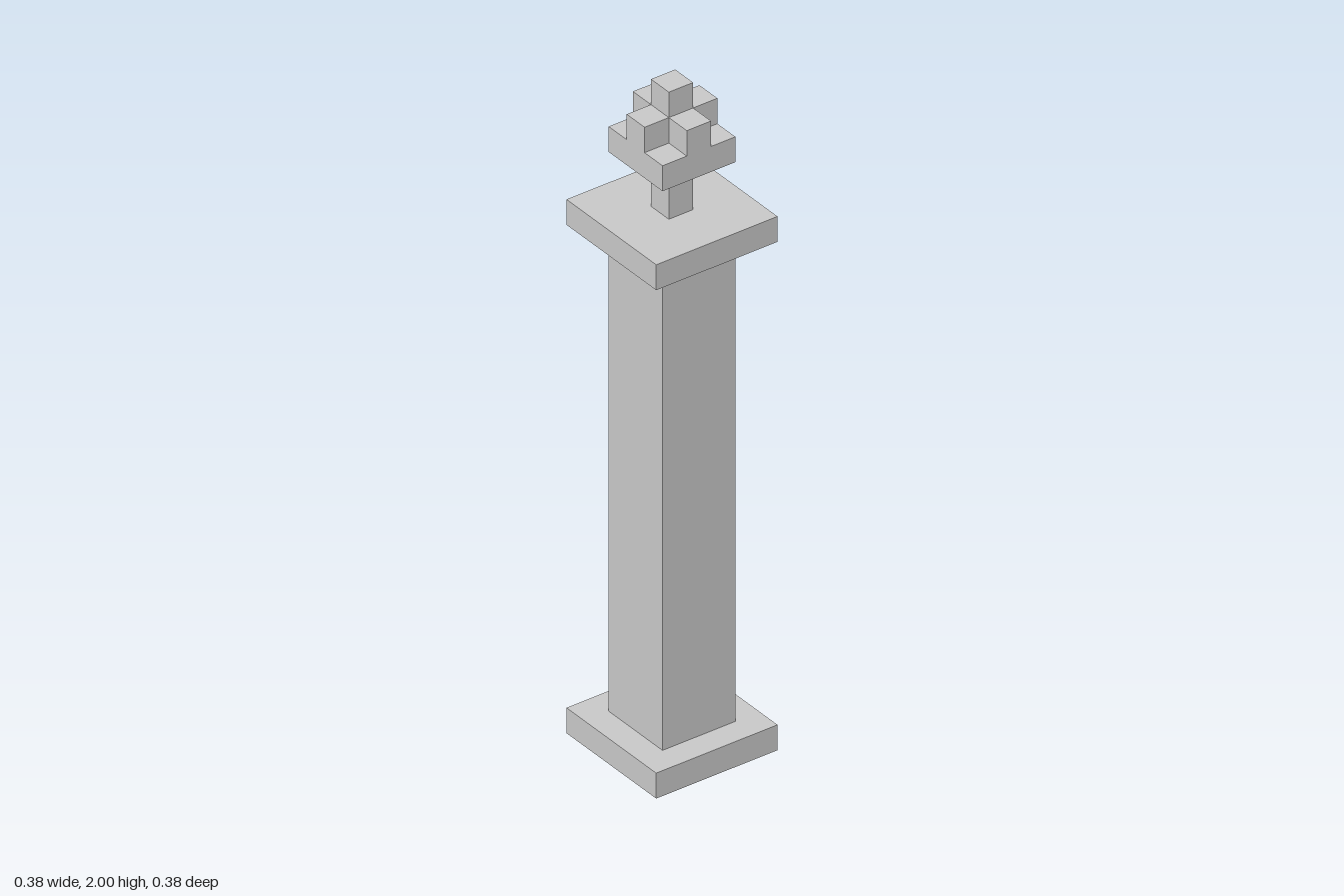
import * as THREE from 'three';

const U = 2 / 26; // one block; the whole post is 26 blocks tall

export function createModel() {
  const group = new THREE.Group();
  const material = new THREE.MeshStandardMaterial({ color: 0xcccccc, flatShading: true });

  // Square block: width and height in blocks, standing on level y
  const block = (name, width, height, y, x = 0, z = 0) => {
    const mesh = new THREE.Mesh(new THREE.BoxGeometry(width * U, height * U, width * U), material);
    mesh.name = name;
    mesh.position.set(x * U, (y + height / 2) * U, z * U);
    group.add(mesh);
  };

  // Post
  block('base', 5, 1, 0);
  block('shaft', 3, 19, 1);
  block('capital', 5, 1, 20);

  // Ornament on top
  block('neck', 1, 2, 21);
  block('ornamentPlate', 3, 1, 23);
  block('finial', 1, 2, 24);

  // Four prongs around the finial
  const prongs = { leftProng: [1, 0], rightProng: [-1, 0], frontProng: [0, 1], backProng: [0, -1] };
  for (const [name, [x, z]] of Object.entries(prongs)) block(name, 1, 1, 24, x, z);

  return group;
}
